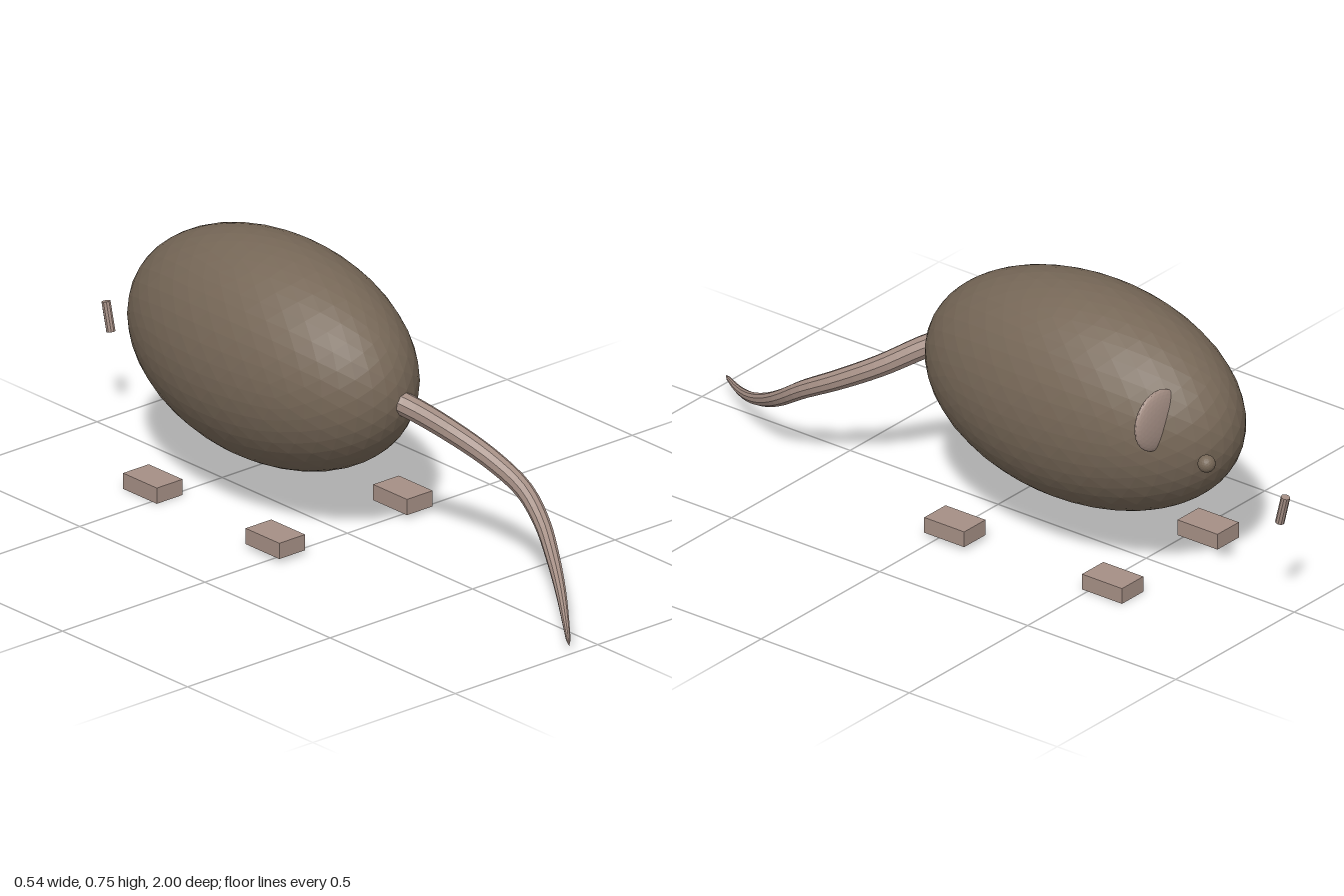
import * as THREE from 'three';

export function createModel() {
  const model = new THREE.Group();
  model.name = 'rodent';
  const fur = new THREE.MeshStandardMaterial({ color: 0x766757, flatShading: true });
  fur.name = 'brown fur';
  const skin = new THREE.MeshStandardMaterial({ color: 0xa58f85, flatShading: true });
  skin.name = 'pink skin';

  const add = (name, geometry, material, x = 0, y = 0, z = 0) => {
    const mesh = new THREE.Mesh(geometry, material);
    mesh.name = name;
    mesh.position.set(x, y, z);
    model.add(mesh);
    return mesh;
  };

  // Egg-shaped body
  add('body', new THREE.IcosahedronGeometry(1, 7), fur, 0, 0.44, -0.295)
    .scale.set(0.267, 0.312, 0.5);

  // Single flattened ear, eye and tooth on the left of the head
  const ear = add('ear', new THREE.IcosahedronGeometry(1, 5), skin, 0.16, 0.525, -0.665);
  ear.scale.set(0.086, 0.087, 0.02);
  ear.rotation.y = -0.07;
  add('eye', new THREE.IcosahedronGeometry(0.024, 3), fur, 0.145, 0.44, -0.82);
  const tooth = add('tooth', new THREE.CylinderGeometry(0.0125, 0.0125, 0.083, 10), skin, 0.02, 0.304, -0.977);
  tooth.rotation.x = -0.24;

  // Two pairs of block feet
  for (const [side, s] of [['left', 1], ['right', -1]]) {
    const foot = new THREE.BoxGeometry(0.09, 0.045, 0.135);
    add(side + 'TailEndFoot', foot, skin, s * 0.224, 0.035, -0.033);
    add(side + 'HeadEndFoot', foot, skin, s * 0.2015, 0.0225, -0.548);
  }

  // Curved tail: a tube whose rings shrink towards a closed tip
  const path = new THREE.CatmullRomCurve3([
    [-0.01, 0.445, 0.14], [0.03, 0.423, 0.2], [0.105, 0.355, 0.31], [0.15, 0.295, 0.42],
    [0.165, 0.242, 0.52], [0.148, 0.182, 0.61], [0.105, 0.128, 0.7],
    [0.045, 0.08, 0.8], [-0.025, 0.045, 0.9], [-0.1, 0.024, 1],
  ].map((p) => new THREE.Vector3(...p)));
  const rings = 32, sides = 10;
  const tail = new THREE.TubeGeometry(path, rings, 1, sides);
  const pos = tail.attributes.position;
  const v = new THREE.Vector3();
  for (let i = 0; i <= rings; i++) {
    const u = i / rings;
    const centre = path.getPointAt(u);
    const radius = i === rings ? 0 : 0.033 - 0.01 * u - 0.018 * u * u;
    for (let j = 0; j <= sides; j++) {
      const k = i * (sides + 1) + j;
      v.fromBufferAttribute(pos, k).sub(centre).multiplyScalar(radius).add(centre);
      pos.setXYZ(k, v.x, v.y, v.z);
    }
  }
  tail.computeVertexNormals();
  add('tail', tail, skin);

  return model;
}
